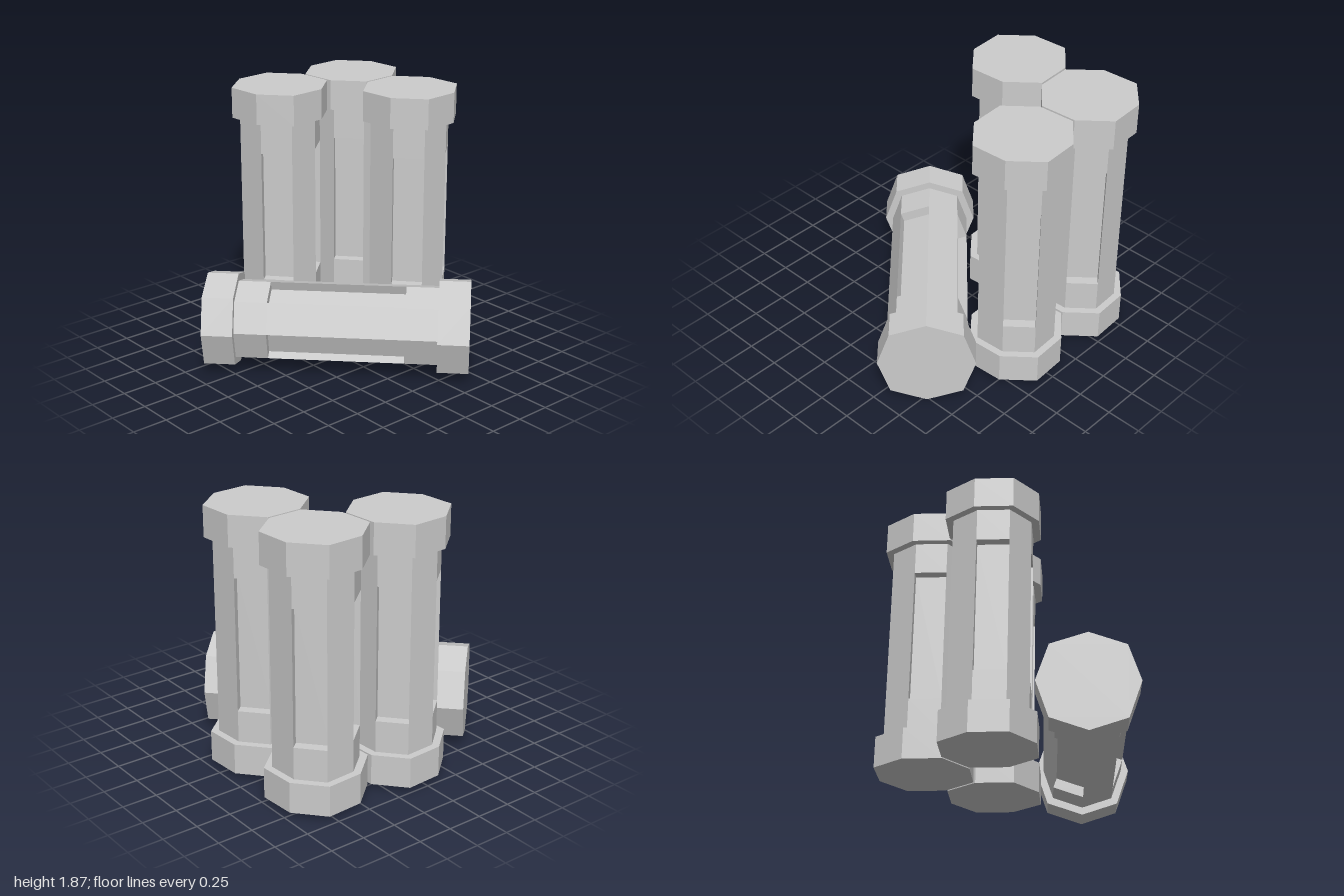
import * as THREE from 'three';

const material = new THREE.MeshStandardMaterial({ color: 0xcccccc, flatShading: true });
const LENGTH = 1.83, CAP = 0.217, RECESS = 0.945;
const BODY = LENGTH - 2 * CAP, COLLAR = (BODY - RECESS) / 2;
const LONG = 0.35, SHORT = 0.332, BODY_SCALE = 0.84, RECESS_DEPTH = 0.07;

// Octagon whose corners alternate between two radii
function octagon(scale) {
  return Array.from({ length: 8 }, (_, i) => {
    const r = scale * (i % 2 ? SHORT : LONG), a = i * Math.PI / 4;
    return new THREE.Vector2(r * Math.cos(a), r * Math.sin(a));
  });
}

// Body section with every second face pushed inwards
function recessedSection() {
  const corners = octagon(BODY_SCALE), points = [];
  for (let i = 0; i < 8; i += 2) {
    const a = corners[i], b = corners[i + 1];
    const edge = b.clone().sub(a).normalize();
    const inward = new THREE.Vector2(-edge.y, edge.x).multiplyScalar(RECESS_DEPTH);
    points.push(a, a.clone().add(inward), b.clone().add(inward), b);
  }
  return points;
}

// Prism along y, centred at height y
function prism(name, points, height, y) {
  const geometry = new THREE.ExtrudeGeometry(new THREE.Shape(points), { depth: height, bevelEnabled: false });
  geometry.translate(0, 0, -height / 2).rotateX(Math.PI / 2).translate(0, y, 0);
  const mesh = new THREE.Mesh(geometry, material);
  mesh.name = name;
  return mesh;
}

// One canister, centred on its own origin and turned about its axis
function canister(name, spin) {
  const turned = new THREE.Group();
  turned.name = 'canisterParts';
  turned.rotation.y = -spin;
  turned.add(prism('recessedBody', recessedSection(), RECESS, 0));
  for (const s of [-1, 1]) {
    const end = s > 0 ? 'top' : 'bottom';
    turned.add(prism(end + 'Cap', octagon(1), CAP, s * (LENGTH - CAP) / 2));
    turned.add(prism(end + 'Collar', octagon(BODY_SCALE), COLLAR, s * (RECESS + COLLAR) / 2));
  }
  const group = new THREE.Group();
  group.name = name;
  group.add(turned);
  return group;
}

export function createModel() {
  const model = new THREE.Group();
  model.name = 'canisterCluster';

  // Three standing canisters
  const spots = [['backRight', -0.645, -0.663], ['backMiddle', 0, -0.65], ['middleRight', -0.674, -0.018]];
  for (const [name, x, z] of spots) {
    const standing = canister(name + 'Canister', THREE.MathUtils.degToRad(22.8));
    standing.position.set(x, 0.957, z);
    model.add(standing);
  }

  // One lying diagonally in front
  const lying = canister('lyingCanister', Math.PI / 4);
  const across = new THREE.Vector3(0.692, 0, 0.722).normalize();
  const up = new THREE.Vector3(0, 1, 0);
  const along = up.clone().cross(across);
  lying.quaternion.setFromRotationMatrix(new THREE.Matrix4().makeBasis(across, along, up));
  lying.position.set(0.103, 0.338, 0.105);
  model.add(lying);
  return model;
}
